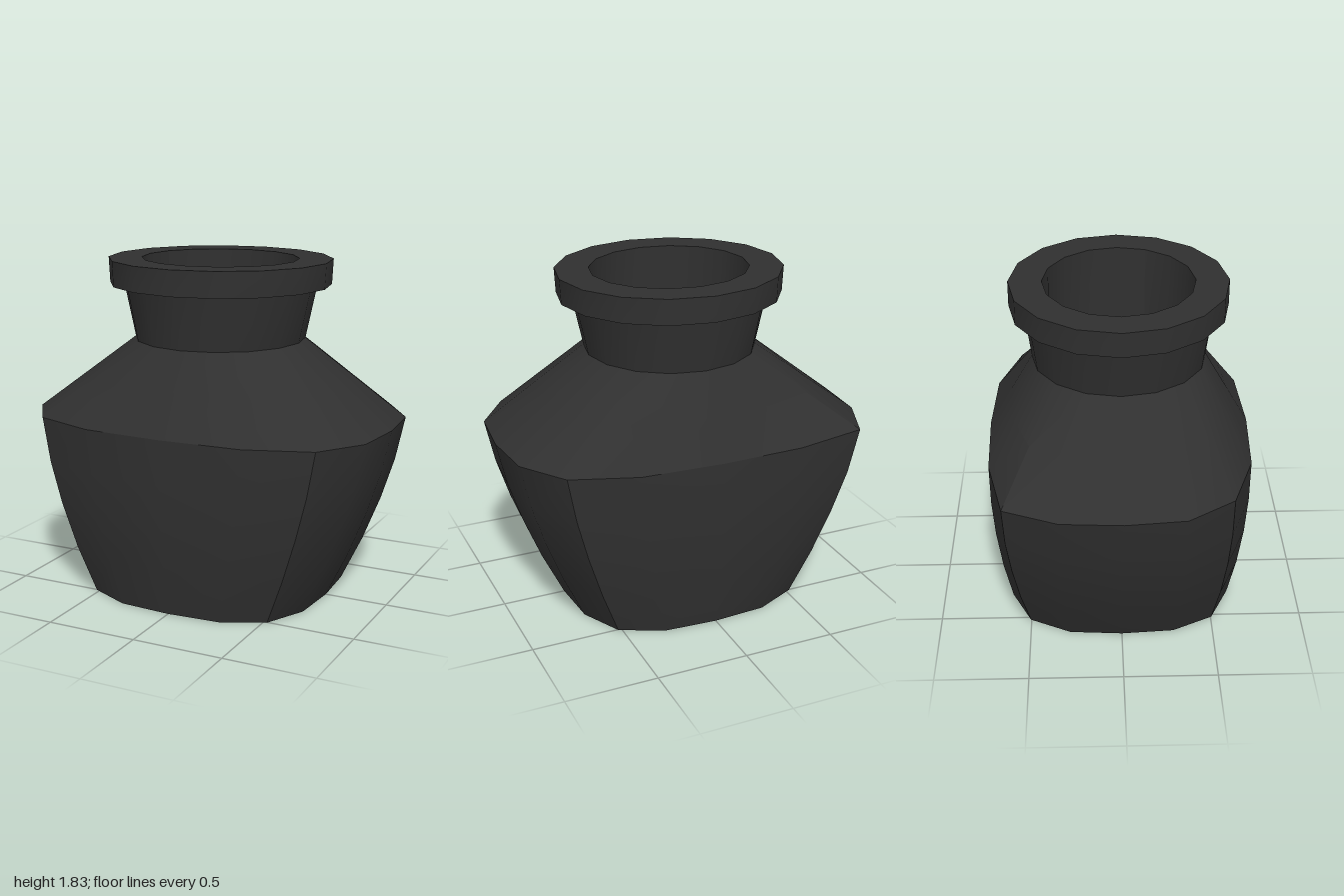
import * as THREE from 'three';
import { toCreasedNormals } from 'three/addons/utils/BufferGeometryUtils.js';

const SIDES = 16;

// Round cross-section, counted from +x towards +z
function roundRing(y, rx, rz) {
  return Array.from({ length: SIDES }, (_, i) => {
    const a = (i / SIDES) * Math.PI * 2;
    return [rx * Math.cos(a), y, rz * Math.sin(a)];
  });
}

// Rounded-square cross-section; bulge pushes out the back right corner
function squareRing(y, rx, rz, bulge = 0) {
  const c = [1, 0.97, 0.8, 0.45, 0, -0.45, -0.8, -0.97, -1, -0.97, -0.8, -0.45, 0, 0.45, 0.8, 0.97];
  return c.map((cx, i) => {
    const cz = c[(i + 12) % SIDES];
    const k = i === 10 ? 1 + bulge : i === 9 || i === 11 ? 1 + bulge * 0.15 : 1;
    return [cx * rx * k, y, cz * rz * k];
  });
}

// Skin stacked rings, facing outwards when the rings go upwards
function loft(rings, { capStart = false, capEnd = false } = {}) {
  const pos = rings.flat(2);
  const index = [];
  for (let r = 0; r < rings.length - 1; r++) {
    for (let i = 0; i < SIDES; i++) {
      const j = (i + 1) % SIDES;
      const a = r * SIDES + i, b = r * SIDES + j;
      index.push(a, a + SIDES, b, b, a + SIDES, b + SIDES);
    }
  }
  const cap = (r, flip) => {
    const centre = pos.length / 3;
    pos.push(0, rings[r][0][1], 0);
    for (let i = 0; i < SIDES; i++) {
      const a = r * SIDES + i, b = r * SIDES + ((i + 1) % SIDES);
      if (flip) index.push(centre, a, b);
      else index.push(centre, b, a);
    }
  };
  if (capStart) cap(0, true);
  if (capEnd) cap(rings.length - 1, false);
  const g = new THREE.BufferGeometry();
  g.setAttribute('position', new THREE.Float32BufferAttribute(pos, 3));
  g.setIndex(index);
  return toCreasedNormals(g, THREE.MathUtils.degToRad(32));
}

export function createModel() {
  const group = new THREE.Group();
  const material = new THREE.MeshStandardMaterial({ color: 0x303030 });
  const add = (name, geometry) => {
    const mesh = new THREE.Mesh(geometry, material);
    mesh.name = name;
    group.add(mesh);
  };

  // Belly: flat foot, sides curving out to the widest line
  const widest = squareRing(0.975, 1, 0.708, 0.075);
  add('belly', loft([
    squareRing(0, 0.65, 0.63),
    squareRing(0.25, 0.77, 0.672, 0.02),
    squareRing(0.5, 0.87, 0.698, 0.04),
    squareRing(0.73, 0.945, 0.709, 0.06),
    widest,
  ], { capStart: true }));

  // Shoulder: from rounded square to round neck
  const neckBase = roundRing(1.395, 0.465, 0.467);
  const shoulderMid = widest.map((p, i) => p.map((v, k) => (v + neckBase[i][k]) / 2));
  add('shoulder', loft([widest, shoulderMid, neckBase]));

  // Flared neck
  const neckTop = roundRing(1.69, 0.53, 0.507);
  add('neck', loft([neckBase, neckTop]));

  // Rim: underside, outer band and flat top
  const mouth = roundRing(1.827, 0.432, 0.403);
  add('rim', loft([neckTop, roundRing(1.69, 0.607, 0.58), roundRing(1.827, 0.615, 0.58), mouth]));

  // Opening: inner wall and floor, flattened on its four sides
  const floor = roundRing(1.0, 0.432, 0.403).map(([x, y, z], i) =>
    i % 4 === 0 ? [x * 0.924, y, z * 0.924] : [x, y, z]);
  add('opening', loft([mouth, floor], { capEnd: true }));

  return group;
}
